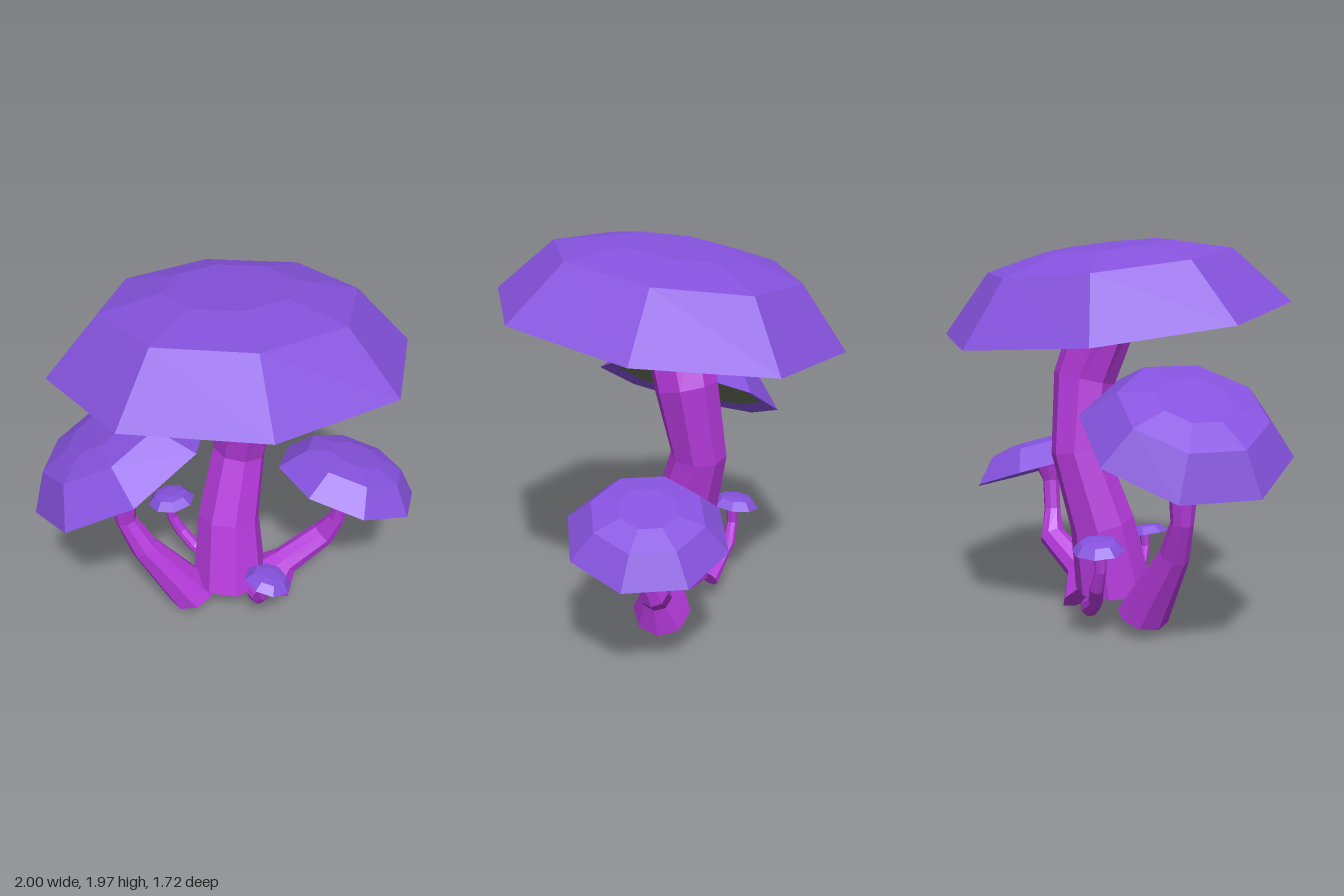
import * as THREE from 'three';

const SIDES = 8;
const paint = (color) => new THREE.MeshStandardMaterial({ color, flatShading: true });
const capPaint = paint(0x8552dd);
const stemPaint = paint(0xb53adb);
const gillPaint = paint(0x66735a);

function addMesh(parent, name, geometry, material) {
  const flat = geometry.index ? geometry.toNonIndexed() : geometry;
  flat.computeVertexNormals();
  const mesh = new THREE.Mesh(flat, material);
  mesh.name = name;
  parent.add(mesh);
  return mesh;
}

// Octagonal tube through rings [x, y, z, radius], closed at both ends
function stemGeometry(rings, startDir, endDir) {
  const centres = rings.map(([x, y, z]) => new THREE.Vector3(x, y, z));
  const up = new THREE.Vector3(0, 1, 0);
  const last = rings.length - 1;
  const positions = [];
  const index = [];
  rings.forEach((ring, i) => {
    let dir = centres[Math.min(i + 1, last)].clone().sub(centres[Math.max(i - 1, 0)]).normalize();
    if (i === 0 && startDir) dir = new THREE.Vector3(...startDir).normalize();
    if (i === last) dir = endDir;
    const turn = new THREE.Quaternion().setFromUnitVectors(up, dir);
    for (let s = 0; s < SIDES; s++) {
      const a = (s / SIDES) * Math.PI * 2;
      const p = new THREE.Vector3(Math.sin(a), 0, Math.cos(a)).multiplyScalar(ring[3]);
      positions.push(...p.applyQuaternion(turn).add(centres[i]).toArray());
    }
  });
  positions.push(...centres[0].toArray(), ...centres[last].toArray());
  const bottom = rings.length * SIDES;
  for (let s = 0; s < SIDES; s++) {
    const n = (s + 1) % SIDES;
    for (let i = 0; i < last; i++) {
      const a = i * SIDES + s, b = i * SIDES + n;
      index.push(a, b, b + SIDES, a, b + SIDES, a + SIDES);
    }
    index.push(bottom, n, s, bottom + 1, last * SIDES + s, last * SIDES + n);
  }
  const geometry = new THREE.BufferGeometry();
  geometry.setAttribute('position', new THREE.Float32BufferAttribute(positions, 3));
  geometry.setIndex(index);
  return geometry;
}

// Cap profile for a rim radius of 1, from the inner lip over the rim to the crown
const capProfile = [[0.81, 0.045], [1, 0], [0.7, 0.328], [0.36, 0.408], [0, 0.41]]
  .map(([r, y]) => new THREE.Vector2(r, y));

function mushroom({ name, cap, radius, tilt, startDir, stem }) {
  const group = new THREE.Group();
  group.name = name;

  const head = new THREE.Group();
  head.name = 'cap';
  head.position.set(...cap);
  head.rotation.set(...tilt.map(THREE.MathUtils.degToRad));
  head.scale.setScalar(radius);
  addMesh(head, 'capTop', new THREE.LatheGeometry(capProfile, SIDES), capPaint);
  const gills = new THREE.CircleGeometry(0.81, SIDES).rotateX(Math.PI / 2).translate(0, 0.045, 0);
  addMesh(head, 'gills', gills, gillPaint);
  group.add(head);

  const capUp = new THREE.Vector3(0, 1, 0).applyEuler(head.rotation);
  addMesh(group, 'stem', stemGeometry(stem, startDir, capUp), stemPaint);
  return group;
}

const mushrooms = [
  {
    name: 'mainMushroom', cap: [0, 1.58, 0], radius: 0.87, tilt: [-8, 0, 0], startDir: [0, 1, 0],
    stem: [[-0.01, 0.19, -0.01, 0.2], [0, 0.55, -0.08, 0.165], [0.075, 0.92, -0.17, 0.14],
      [0.107, 1.28, -0.11, 0.157], [0.01, 1.65, -0.02, 0.18]],
  },
  {
    name: 'rightLargeMushroom', cap: [-0.55, 1.058, -0.005], radius: 0.507, tilt: [-10.7, 0, 27.2],
    startDir: [-0.3, 0.85, 0],
    stem: [[-0.22, 0.1, 0.01, 0.13], [-0.47, 0.47, 0, 0.075], [-0.555, 0.65, -0.03, 0.055],
      [-0.563, 0.92, -0.03, 0.08], [-0.565, 1.1, 0.04, 0.11]],
  },
  {
    name: 'leftMushroom', cap: [0.63, 0.724, -0.025], radius: 0.386, tilt: [-6.7, -4, -18],
    startDir: [0.67, 0.74, 0],
    stem: [[0.22, 0.11, -0.01, 0.15], [0.305, 0.23, 0, 0.08], [0.525, 0.365, -0.03, 0.07],
      [0.58, 0.5, 0.01, 0.045], [0.605, 0.66, 0.02, 0.045], [0.615, 0.752, 0.02, 0.08]],
  },
  {
    name: 'backSmallMushroom', cap: [-0.277, 0.505, -0.312], radius: 0.128, tilt: [-6, 0, 5],
    stem: [[-0.07, 0.15, -0.21, 0.05], [-0.17, 0.21, -0.25, 0.036], [-0.235, 0.3, -0.29, 0.035],
      [-0.28, 0.4, -0.3, 0.028], [-0.28, 0.509, -0.3, 0.036]],
  },
  {
    name: 'frontSmallMushroom', cap: [0.128, 0.402, 0.312], radius: 0.125, tilt: [0, 0, -15],
    stem: [[0.09, 0.18, 0.16, 0.04], [0.1, 0.2, 0.23, 0.033], [0.113, 0.27, 0.28, 0.03],
      [0.12, 0.34, 0.305, 0.022], [0.13, 0.406, 0.305, 0.028]],
  },
];

export function createModel() {
  const model = new THREE.Group();
  model.name = 'mushroomCluster';
  mushrooms.forEach((m) => model.add(mushroom(m)));
  return model;
}
